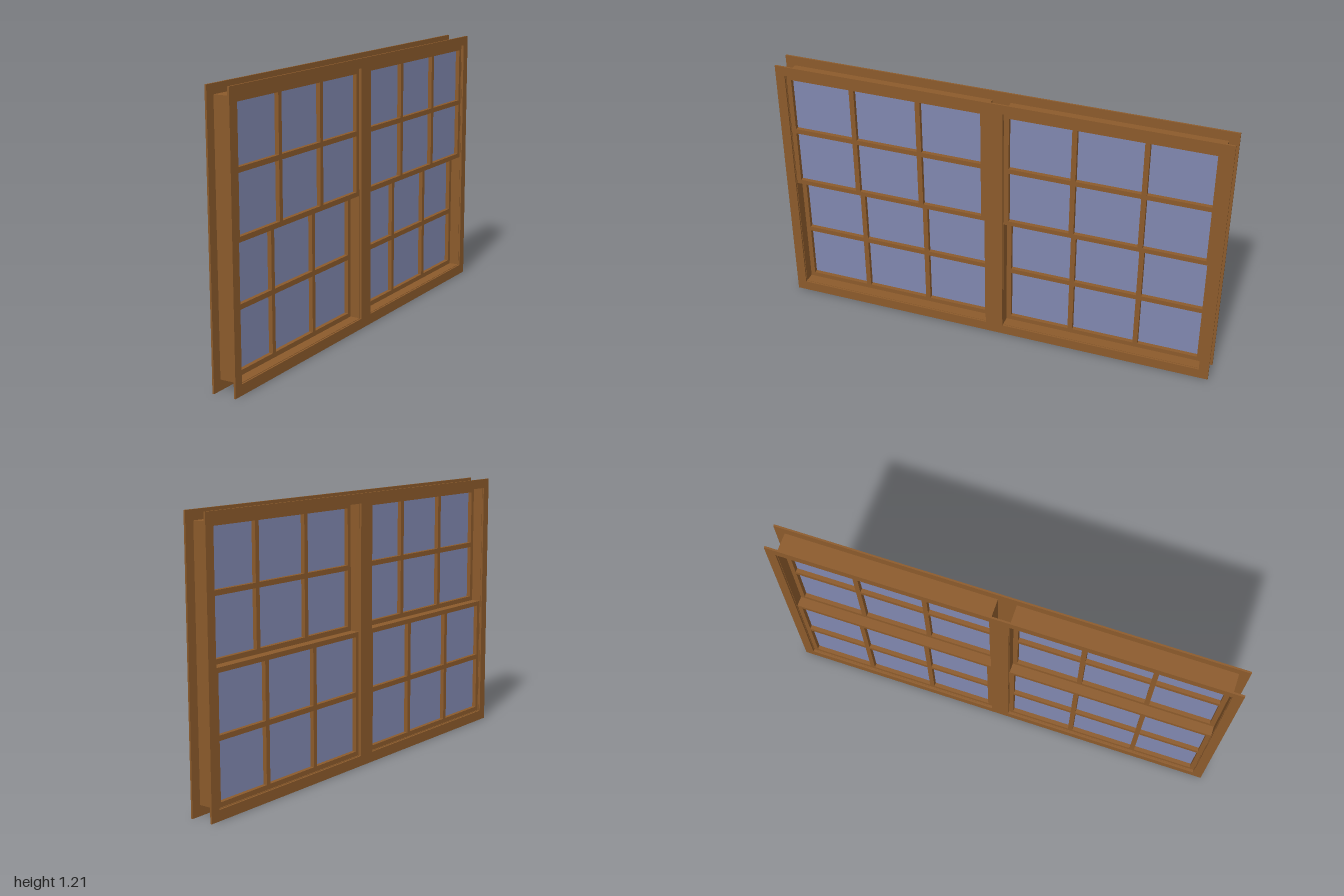
import * as THREE from 'three';

const H = 1.205;                    // casing height
const Y0 = 0.046, Y1 = 1.163;       // opening heights
const YM = (Y0 + Y1) / 2;           // meeting line of the sashes
const Z0 = 0.04, Z1 = 0.957;        // opening from centre post to side
const CASING_IN = 0.047, CASING_OUT = 0.055;
const SASH_DEPTH = 0.043, RAIL = 0.021, BAR = 0.022;

const wood = new THREE.MeshStandardMaterial({ color: 0x8b5a2b });
wood.name = 'brown wood';
const glass = new THREE.MeshStandardMaterial({ color: 0x8087ae });
glass.name = 'blue glass';

// Box given by its limits on each axis
function box(name, material, [xa, xb], [ya, yb], [za, zb]) {
  const mesh = new THREE.Mesh(new THREE.BoxGeometry(xb - xa, yb - ya, zb - za), material);
  mesh.position.set((xa + xb) / 2, (ya + yb) / 2, (za + zb) / 2);
  mesh.name = name;
  return mesh;
}

function rectangle(path, za, zb, ya, yb) {
  path.moveTo(za, ya).lineTo(zb, ya).lineTo(zb, yb).lineTo(za, yb).closePath();
  return path;
}

// Flat surround with two openings
function makeCasing(name, x) {
  const shape = rectangle(new THREE.Shape(), -1, 1, 0, H);
  shape.holes.push(rectangle(new THREE.Path(), Z0, Z1, Y0, Y1));
  shape.holes.push(rectangle(new THREE.Path(), -Z1, -Z0, Y0, Y1));
  const geometry = new THREE.ExtrudeGeometry(shape, { depth: CASING_OUT - CASING_IN, bevelEnabled: false });
  geometry.rotateY(Math.PI / 2);
  const mesh = new THREE.Mesh(geometry, wood);
  mesh.position.x = x;
  mesh.name = name;
  return mesh;
}

// Thin lining of one opening
function makeJamb(za, zb) {
  const t = 0.002, x = [-CASING_IN, CASING_IN];
  const group = new THREE.Group();
  group.name = 'jamb';
  group.add(
    box('sill', wood, x, [Y0, Y0 + t], [za, zb]),
    box('head', wood, x, [Y1 - t, Y1], [za, zb]),
    box('jambSide', wood, x, [Y0 + t, Y1 - t], [za, za + t]),
    box('jambSide', wood, x, [Y0 + t, Y1 - t], [zb - t, zb])
  );
  return group;
}

// Sash of three by two panes
function makeSash(name, x, ya, yb, za, zb) {
  const group = new THREE.Group();
  group.name = name;
  const xm = (x[0] + x[1]) / 2, ym = (ya + yb) / 2;
  const innerY = [ya + RAIL, yb - RAIL], innerZ = [za + RAIL, zb - RAIL];
  group.add(
    box('bottomRail', wood, x, [ya, ya + RAIL], [za, zb]),
    box('topRail', wood, x, [yb - RAIL, yb], [za, zb]),
    box('stile', wood, x, innerY, [za, za + RAIL]),
    box('stile', wood, x, innerY, [zb - RAIL, zb]),
    box('crossBar', wood, x, [ym - BAR / 2, ym + BAR / 2], innerZ),
    box('glassPane', glass, [xm - 0.003, xm + 0.003], innerY, innerZ)
  );
  for (const i of [1, 2]) {
    const z = za + (zb - za) * i / 3;
    for (const span of [[innerY[0], ym - BAR / 2], [ym + BAR / 2, innerY[1]]]) {
      group.add(box('uprightBar', wood, x, span, [z - BAR / 2, z + BAR / 2]));
    }
  }
  return group;
}

export function createModel() {
  const model = new THREE.Group();
  model.name = 'doubleSashWindow';
  model.add(makeCasing('rightCasing', -CASING_OUT), makeCasing('leftCasing', CASING_IN));

  // Two openings, each with a pair of sliding sashes
  for (const [za, zb] of [[Z0, Z1], [-Z1, -Z0]]) {
    const unit = new THREE.Group();
    unit.name = 'windowUnit';
    const e = 0.002;
    unit.add(
      makeJamb(za, zb),
      makeSash('upperSash', [0, SASH_DEPTH], YM, Y1 - e, za + e, zb - e),
      makeSash('lowerSash', [-SASH_DEPTH, 0], Y0 + e, YM, za + e, zb - e)
    );
    model.add(unit);
  }
  return model;
}
